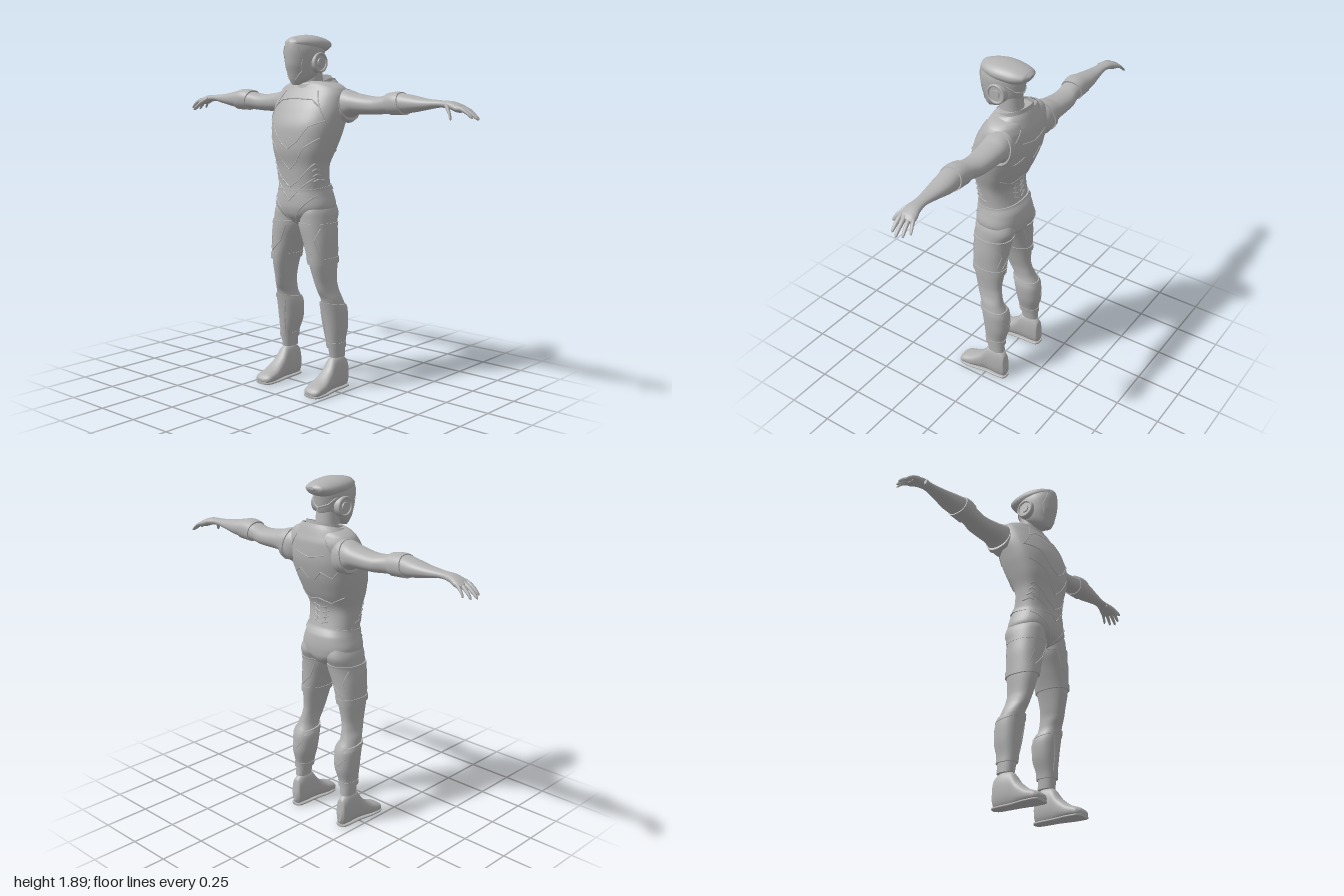
import * as THREE from 'three';

const suit = new THREE.MeshStandardMaterial({ color: 0xb2b2b2, side: THREE.DoubleSide });
suit.name = 'suitGrey';

// Axis mappings: (along, u, v) -> xyz. y uses u=x v=z, x uses u=z v=y, z uses u=y v=x
const MAP = { y: (t, u, v) => [u, t, v], x: (t, u, v) => [t, v, u], z: (t, u, v) => [v, u, t] };

// Monotone interpolation of one cross-section [u0,u1,v0,v1] at position t
function section(tab, t) {
  const n = tab.length - 1;
  let i = 0;
  while (i < n - 1 && t > tab[i + 1][0]) i++;
  const slope = (k, c) => (tab[k + 1][c] - tab[k][c]) / (tab[k + 1][0] - tab[k][0]);
  const tangent = (k, c) => {
    if (k === 0) return slope(0, c);
    if (k === n) return slope(n - 1, c);
    const a = slope(k - 1, c), b = slope(k, c);
    return a * b <= 0 ? 0 : 2 * a * b / (a + b);
  };
  const h = tab[i + 1][0] - tab[i][0], s = (t - tab[i][0]) / h, s2 = s * s, s3 = s2 * s;
  return [1, 2, 3, 4].map(c => (2 * s3 - 3 * s2 + 1) * tab[i][c] + (3 * s2 - 2 * s3) * tab[i + 1][c]
    + h * ((s3 - 2 * s2 + s) * tangent(i, c) + (s3 - s2) * tangent(i + 1, c)));
}

// Loft a superellipse through a table; off swells it, shear tilts its rings by v, from/to cut it
function loft(axis, tab, { off = 0, n = 2.2, shear = 0, steps = 5, cap = true, from, to, seg = 40 } = {}) {
  const ts = [];
  if (from !== undefined) for (let i = 0; i <= 10; i++) ts.push(from + (to - from) * i / 10);
  else tab.forEach((row, i) => {
    if (i) for (let k = 1; k <= steps; k++) ts.push(tab[i - 1][0] + (row[0] - tab[i - 1][0]) * k / steps);
    else ts.push(row[0]);
  });
  const pos = [], idx = [];
  const ring = t => {
    const [u0, u1, v0, v1] = section(tab, t);
    const ru = (u1 - u0) / 2 + off, rv = (v1 - v0) / 2 + off;
    for (let j = 0; j < seg; j++) {
      const a = j / seg * Math.PI * 2, c = Math.cos(a), s = Math.sin(a);
      const dv = rv * Math.sign(s) * Math.abs(s) ** (2 / n);
      pos.push(...MAP[axis](t + shear * dv, (u0 + u1) / 2 + ru * Math.sign(c) * Math.abs(c) ** (2 / n), (v0 + v1) / 2 + dv));
    }
    return [(u0 + u1) / 2, (v0 + v1) / 2];
  };
  ts.forEach((t, i) => {
    ring(t);
    if (i) for (let j = 0; j < seg; j++) {
      const a = (i - 1) * seg + j, b = (i - 1) * seg + (j + 1) % seg;
      idx.push(a, a + seg, b, b, a + seg, b + seg);
    }
  });
  if (cap) [ts[0], ts[ts.length - 1]].forEach((t, e) => {
    const base = pos.length / 3, mid = ring(t);
    pos.push(...MAP[axis](t, ...mid));
    for (let j = 0; j < seg; j++) {
      const a = base + j, b = base + (j + 1) % seg;
      idx.push(base + seg, ...(e ? [b, a] : [a, b]));
    }
  });
  const g = new THREE.BufferGeometry();
  g.setAttribute('position', new THREE.Float32BufferAttribute(pos, 3));
  g.setIndex(idx);
  g.computeVertexNormals();
  return g;
}

function mirrored(geo) {
  const g = geo.clone().scale(-1, 1, 1), a = Array.from(g.index.array);
  for (let i = 0; i < a.length; i += 3) [a[i + 1], a[i + 2]] = [a[i + 2], a[i + 1]];
  g.setIndex(a);
  g.computeVertexNormals();
  return g;
}

// Cross-section tables
const TORSO = [[0.885, -.02, .02, -.05, .05], [.92, -.075, .075, -.105, .105], [.96, -.15, .15, -.122, .13],
  [1.0, -.168, .168, -.125, .137], [1.06, -.152, .152, -.118, .134], [1.1, -.142, .142, -.098, .13],
  [1.2, -.15, .15, -.078, .135], [1.3, -.178, .178, -.12, .152], [1.4, -.203, .203, -.157, .145],
  [1.5, -.217, .217, -.175, .108], [1.57, -.212, .212, -.172, .068], [1.61, -.195, .195, -.16, .042],
  [1.635, -.155, .155, -.15, .03], [1.65, -.09, .09, -.13, .015]];
const LEG = [[.18, .14, .208, -.104, -.005], [.25, .132, .208, -.1, .005], [.35, .105, .218, -.12, .018],
  [.43, .098, .22, -.116, .03], [.5, .112, .21, -.085, .045], [.55, .11, .193, -.072, .07],
  [.6, .1, .187, -.065, .085], [.7, .075, .19, -.075, .107], [.8, .04, .19, -.08, .112],
  [.9, .008, .182, -.092, .118], [.96, .008, .175, -.115, .118], [1.02, .03, .15, -.1, .1]];
const ARM = [[.1, -.13, -.02, 1.45, 1.58], [.17, -.165, -.01, 1.43, 1.61], [.22, -.168, -.015, 1.455, 1.603],
  [.27, -.166, -.022, 1.478, 1.588], [.4, -.158, -.032, 1.482, 1.573], [.47, -.143, -.03, 1.487, 1.582],
  [.55, -.14, -.022, 1.49, 1.594], [.62, -.142, -.028, 1.497, 1.585], [.72, -.128, -.044, 1.515, 1.568],
  [.8, -.12, -.058, 1.527, 1.562], [.85, -.127, -.055, 1.52, 1.56], [.9, -.14, -.05, 1.505, 1.545],
  [.925, -.138, -.058, 1.508, 1.53]];
const FOOT = [[-.126, .03, .08, .16, .19], [-.112, .004, .16, .143, .205], [-.06, 0, .187, .137, .211],
  [-.01, .001, .18, .135, .212], [.04, .004, .12, .13, .22], [.1, .002, .075, .122, .23],
  [.15, .002, .055, .124, .231], [.17, .006, .042, .138, .22], [.178, .015, .03, .16, .2]];
const HEAD = [[1.63, -.02, .02, .07, .1], [1.655, -.048, .048, .0, .113], [1.69, -.068, .068, -.075, .125],
  [1.74, -.08, .08, -.1, .139], [1.8, -.087, .087, -.11, .143], [1.84, -.08, .08, -.115, .14],
  [1.865, -.06, .06, -.1, .127], [1.88, -.034, .034, -.06, .085], [1.886, -.01, .01, -.01, .03]];
const SHELL = [[-.152, 1.838, 1.852, -.022, .022], [-.13, 1.81, 1.867, -.06, .06], [-.06, 1.79, 1.884, -.086, .086],
  [.0, 1.79, 1.889, -.091, .091], [.06, 1.8, 1.884, -.08, .08], [.12, 1.82, 1.866, -.045, .045],
  [.138, 1.835, 1.85, -.012, .012]];

// Seam raised along a polyline of [across, height] on a vertical body's front (side 1) or back (-1)
function seam(tab, pts, side, off = 0, r = .0035, n = 2.2) {
  const out = [];
  for (let i = 0; i < pts.length - 1; i++) for (let k = 0; k <= 6; k++) {
    if (k === 6 && i < pts.length - 2) continue;
    const x = pts[i][0] + (pts[i + 1][0] - pts[i][0]) * k / 6, y = pts[i][1] + (pts[i + 1][1] - pts[i][1]) * k / 6;
    const [u0, u1, v0, v1] = section(tab, y);
    const q = Math.min(1, Math.abs((x - (u0 + u1) / 2) / ((u1 - u0) / 2)));
    out.push(new THREE.Vector3(x, y, (v0 + v1) / 2 + side * ((v1 - v0) / 2 * (1 - q ** n) ** (1 / n) + off)));
  }
  return new THREE.TubeGeometry(new THREE.CatmullRomCurve3(out), out.length * 2, r, 5);
}

export function createModel() {
  const model = new THREE.Group();
  model.name = 'armouredFigure';
  const add = (name, geo) => {
    const m = new THREE.Mesh(geo, suit);
    m.name = name;
    model.add(m);
  };
  const pair = (name, geo) => { add(name + 'Left', geo); add(name + 'Right', mirrored(geo)); };

  // Torso, neck and tilted collars
  add('torso', loft('y', TORSO, { n: 2.4 }));
  add('belt', loft('y', TORSO, { n: 2.4, off: .004, from: 1.075, to: 1.1, shear: -.12 }));
  add('neck', loft('y', [[1.57, -.08, .08, -.12, .02], [1.65, -.062, .062, -.095, .025], [1.76, -.06, .06, -.085, .03]]));
  add('outerCollar', loft('y', [[1.58, -.17, .17, -.172, .065], [1.625, -.145, .145, -.158, .04], [1.65, -.122, .122, -.148, .03]], { cap: false, shear: -.2 }));
  add('innerCollar', loft('y', [[1.6, -.115, .115, -.145, .05], [1.64, -.102, .102, -.14, .04], [1.658, -.1, .1, -.138, .036]], { cap: false, shear: -.28 }));

  // Panel seams of the suit
  const front = [
    [[0, 1.19], [.05, 1.235], [.1, 1.31], [.17, 1.36]], [[0, 1.3], [.06, 1.34], [.12, 1.42], [.19, 1.45]],
    [[0, 1.56], [.1, 1.555], [.15, 1.52]], [[0, 1.1], [.06, 1.14], [.13, 1.22]], [[0, 1.03], [.07, 1.1], [.13, 1.15]],
    [[.01, .91], [.06, .98], [.14, 1.06]], [[.11, 1.6], [.15, 1.52], [.19, 1.45]]];
  const back = [[[0, 1.27], [.08, 1.25], [.15, 1.29]], [[.02, 1.38], [.07, 1.43], [.13, 1.4], [.18, 1.46]],
    [[.1, 1.6], [.14, 1.54], [.19, 1.5]], [[.03, 1.14], [.03, 1.23]], [[0, 1.5], [.1, 1.52]]];
  front.forEach(p => pair('chestSeam', seam(TORSO, p, 1, 0, .0035, 2.4)));
  back.forEach(p => pair('backSeam', seam(TORSO, p, -1, 0, .0035, 2.4)));
  for (let i = 0; i < 4; i++) {
    const y = 1.13 + i * .028;
    pair('ribSlat', seam(TORSO, [[.125, y], [.138, y + .012], [.144, y + .004]], 1, 0, .005, 2.4));
    pair('spineSlat', seam(TORSO, [[.01, y], [.05, y + .015]], -1, 0, .004, 2.4));
  }

  // Helmet with pointed rear shell, visor seam and ear discs
  add('helmet', loft('y', HEAD, { n: 2 }));
  add('helmetShell', loft('z', SHELL, { n: 2 }));
  pair('visorSeam', seam(HEAD, [[.02, 1.655], [.052, 1.7], [.062, 1.76], [.045, 1.83]], 1, 0, .003, 2));
  pair('jawSeam', seam(HEAD, [[.0, 1.74], [.05, 1.76], [.075, 1.79]], -1, 0, .005, 2));
  const disc = (r, x, w) => new THREE.CylinderGeometry(r * .94, r, w, 36).rotateZ(-Math.PI / 2).translate(x, 1.745, -.003);
  pair('earDisc', disc(.054, .08, .026));
  pair('earRim', new THREE.TorusGeometry(.046, .007, 10, 36).rotateY(Math.PI / 2).translate(.094, 1.745, -.003));
  pair('earHub', disc(.024, .09, .02));

  // Legs with thigh cuffs and shin guards
  pair('leg', loft('y', LEG));
  [['thighArmour', .7, .9, .004], ['lowerThighCuff', .695, .728, .008], ['upperThighCuff', .89, .912, .006],
    ['shinGuard', .235, .465, .005], ['kneeBand', .452, .475, .009], ['ankleCuff', .232, .262, .008]].forEach(
    ([name, from, to, off]) => pair(name, loft('y', LEG, { from, to, off, shear: name === 'kneeBand' ? .15 : 0 })));
  [[[.05, .89], [.09, .8], [.15, .74]], [[.17, .89], [.15, .82], [.17, .75]]].forEach(p => {
    pair('thighSeam', seam(LEG, p, 1, .004));
    pair('thighBackSeam', seam(LEG, p, -1, .004));
  });
  pair('shinSeam', seam(LEG, [[.13, .45], [.145, .36], [.15, .26]], 1, .004));
  pair('calfSeam', seam(LEG, [[.12, .42], [.16, .36], [.2, .41]], -1, .004));
  pair('foot', loft('z', FOOT, { n: 2.4 }));
  pair('sole', loft('z', FOOT.map(([z, , , a, b]) => [z, 0, .014, a - .002, b + .002]), { n: 4 }));

  // Arms with shoulder trim and elbow cuff
  pair('arm', loft('x', ARM));
  pair('shoulderTrim', loft('x', ARM, { from: .195, to: .215, off: .006, shear: -.25 }));
  pair('elbowCuff', loft('x', ARM, { from: .495, to: .575, off: .006, shear: -.25 }));

  // Fingers: [root x, y, z], [tip x, y, z], radius
  const digits = [[[.9, 1.525, -.128], [.958, 1.482, -.153], .0095], [[.9, 1.528, -.108], [.985, 1.474, -.128], .0105],
    [[.9, 1.53, -.086], [1, 1.474, -.1], .011], [[.9, 1.53, -.065], [.985, 1.482, -.07], .0105],
    [[.835, 1.54, -.068], [.905, 1.474, -.008], .0125]];
  digits.forEach(([a, b, r], i) => {
    const tab = [0, .35, .7, .93, 1].map((t, k) => {
      const w = r * [1.2, 1.1, .95, .7, .2][k], at = c => a[c] + (b[c] - a[c]) * t;
      const y = at(1) + .008 * Math.sin(Math.PI * t);
      return [at(0), at(2) - w, at(2) + w, y - w, y + w];
    });
    pair(i < 4 ? 'finger' : 'thumb', loft('x', tab, { n: 2, seg: 16, steps: 3 }));
  });
  return model;
}
